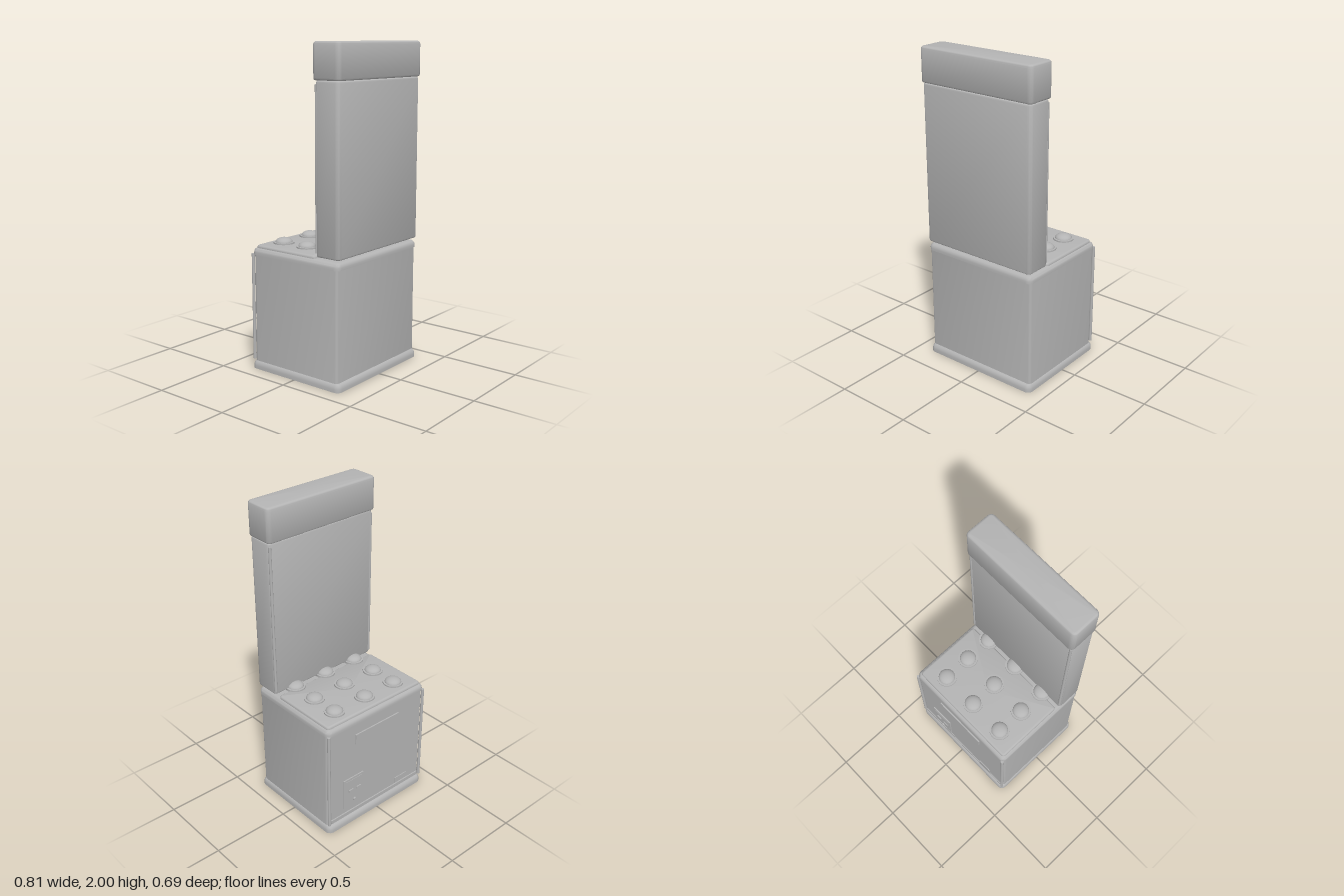
import * as THREE from 'three';
import { toCreasedNormals } from 'three/addons/utils/BufferGeometryUtils.js';

const grey = new THREE.MeshStandardMaterial({ color: 0xb4b4b4 });
grey.name = 'plain grey';

// Rounded-rectangle block lofted through [inset, y] rings, closed at both ends
function loftBlock(x0, x1, z0, z1, corner, rings) {
  const cx = (x0 + x1) / 2, cz = (z0 + z1) / 2, steps = 5;
  const pos = [cx, rings[0][1], cz], index = [];
  for (const [inset, y] of rings) {
    const r = Math.max(corner - inset, 0.004);
    const hx = (x1 - x0) / 2 - inset - r, hz = (z1 - z0) / 2 - inset - r;
    for (let q = 0; q < 4; q++) {
      const sx = q === 0 || q === 3 ? 1 : -1, sz = q < 2 ? 1 : -1;
      for (let s = 0; s <= steps; s++) {
        const a = (q + s / steps) * Math.PI / 2;
        pos.push(cx + sx * hx + r * Math.cos(a), y, cz + sz * hz + r * Math.sin(a));
      }
    }
  }
  const n = 4 * (steps + 1), last = 1 + (rings.length - 1) * n, top = last + n;
  pos.push(cx, rings[rings.length - 1][1], cz);
  for (let i = 0; i < n; i++) {
    const j = (i + 1) % n;
    index.push(0, 1 + i, 1 + j, top, last + j, last + i);
    for (let k = 0; k < rings.length - 1; k++) {
      const a = 1 + k * n + i, b = 1 + k * n + j;
      index.push(a, a + n, b, b, a + n, b + n);
    }
  }
  const g = new THREE.BufferGeometry();
  g.setAttribute('position', new THREE.Float32BufferAttribute(pos, 3));
  g.setIndex(index);
  return toCreasedNormals(g, 0.6);
}

// Vertical profile with quarter-round edges of the given radii
function profile(y0, y1, bottom, top) {
  const rings = [], steps = 4;
  if (bottom === 0) rings.push([0, y0]);
  else for (let i = 0; i <= steps; i++) {
    const a = i / steps * Math.PI / 2;
    rings.push([bottom * (1 - Math.sin(a)), y0 + bottom * (1 - Math.cos(a))]);
  }
  if (top === 0) rings.push([0, y1]);
  else for (let i = 0; i <= steps; i++) {
    const a = i / steps * Math.PI / 2;
    rings.push([top * (1 - Math.cos(a)), y1 - top * (1 - Math.sin(a))]);
  }
  return rings;
}

export function createModel() {
  const model = new THREE.Group();
  const add = (name, geometry, x = 0, y = 0, z = 0) => {
    const mesh = new THREE.Mesh(geometry, grey);
    mesh.name = name;
    mesh.position.set(x, y, z);
    model.add(mesh);
    return mesh;
  };
  const block = (name, hx, z0, z1, corner, y0, y1, bottom, top) =>
    add(name, loftBlock(-hx, hx, z0, z1, corner, profile(y0, y1, bottom, top)));
  const box = (name, w, h, d, x, y, z) => add(name, new THREE.BoxGeometry(w, h, d), x, y, z);

  // Cabinet
  block('base', 0.405, -0.343, 0.343, 0.035, 0, 0.055, 0, 0.035);
  block('cabinet', 0.397, -0.322, 0.325, 0.025, 0.052, 0.73, 0, 0);
  block('rim', 0.4, -0.333, 0.335, 0.035, 0.725, 0.768, 0, 0.028);
  block('playPanel', 0.382, -0.312, 0.148, 0.02, 0.755, 0.785, 0, 0.015);

  // Backboard and header
  block('backboard', 0.397, 0.165, 0.338, 0.025, 0.784, 1.786, 0.012, 0.012);
  block('header', 0.405, 0.15, 0.345, 0.028, 1.787, 2, 0.012, 0.018);

  // Edge trims
  for (const s of [-1, 1]) {
    add('cabinetTrim', new THREE.CylinderGeometry(0.01, 0.01, 0.67, 12), s * 0.391, 0.395, -0.329);
    add('backboardTrim', new THREE.CylinderGeometry(0.009, 0.009, 0.96, 12), s * 0.385, 1.285, 0.17);
  }

  // Three rows of three domes on collars
  for (const x of [-0.243, 0, 0.243]) for (const z of [-0.21, -0.026, 0.158]) {
    add('domeCollar', new THREE.CylinderGeometry(0.064, 0.064, 0.014, 32), x, 0.787, z);
    const dome = add('dome', new THREE.SphereGeometry(0.053, 16, 8, 0, Math.PI * 2, 0, Math.PI / 2), x, 0.792, z);
    dome.scale.y = 0.55;
  }

  // Service side: panel, sign plate, coin door and small plate
  box('servicePanel', 0.75, 0.64, 0.008, 0, 0.41, -0.323);
  box('kickStrip', 0.75, 0.025, 0.008, 0, 0.072, -0.327);
  box('signPlate', 0.36, 0.07, 0.009, 0, 0.615, -0.331);
  box('coinDoor', 0.16, 0.215, 0.008, 0.195, 0.235, -0.33);
  box('coinDoorInset', 0.13, 0.185, 0.004, 0.195, 0.235, -0.334);
  for (const x of [0.158, 0.222]) box('coinSlot', 0.036, 0.016, 0.009, x, 0.25, -0.338);
  const button = add('coinButton', new THREE.CylinderGeometry(0.011, 0.011, 0.012, 16), 0.19, 0.17, -0.34);
  button.rotation.x = Math.PI / 2;
  box('smallPlate', 0.1, 0.04, 0.006, -0.22, 0.115, -0.329);

  return model;
}
